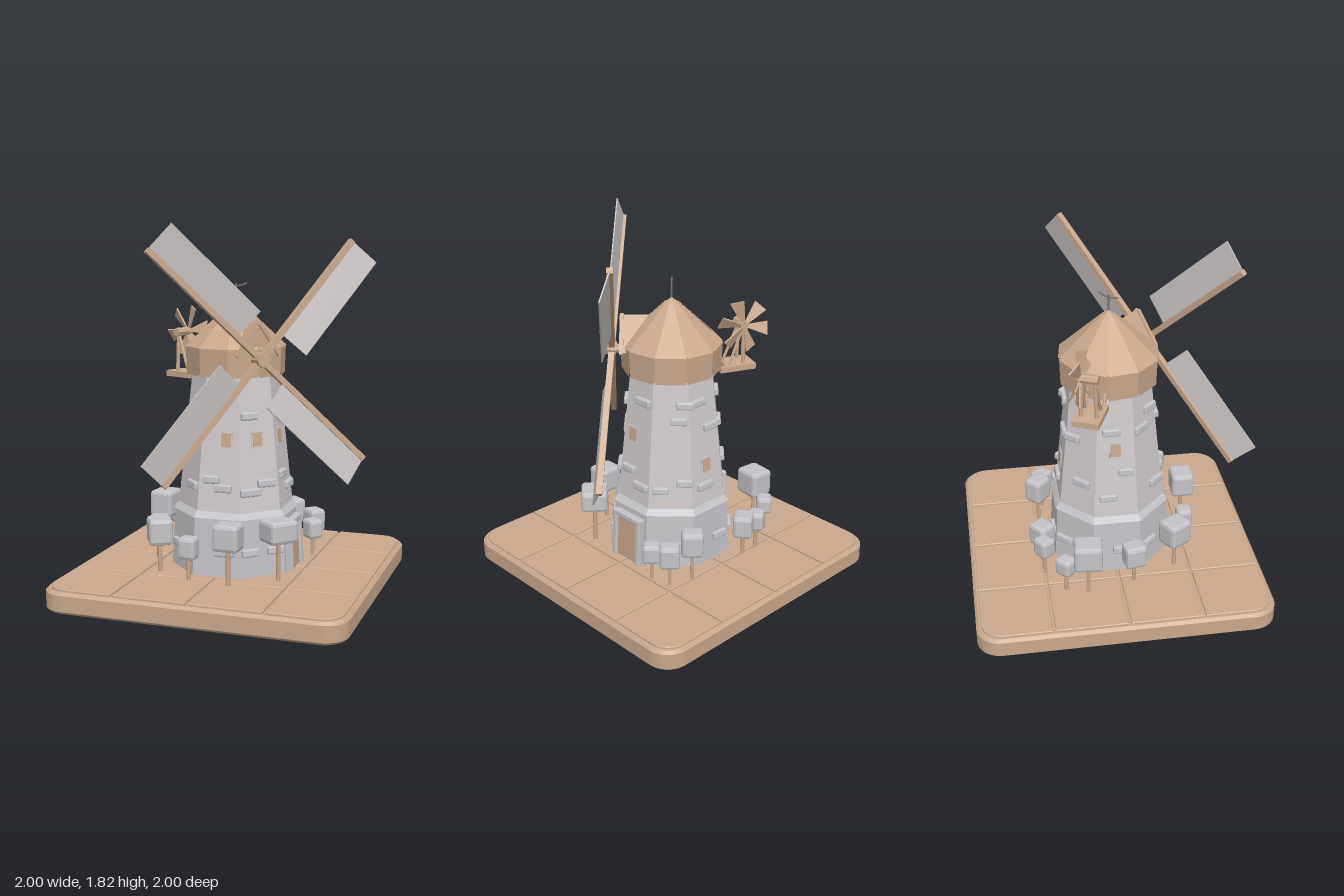
import * as THREE from 'three';
import { RoundedBoxGeometry } from 'three/addons/geometries/RoundedBoxGeometry.js';

const mat = (name, color, extra = {}) => new THREE.MeshStandardMaterial({ name, color, flatShading: true, ...extra });
const wood = mat('wood', 0xcaa88c);
const stone = mat('pale stone', 0xd0cacb);
const block = mat('cool grey', 0xc4c4c8);
const sailCloth = mat('sail cloth', 0xcbc5c5, { side: THREE.DoubleSide });
const iron = mat('iron', 0x77716e);

function add(parent, name, geo, material, x = 0, y = 0, z = 0, rx = 0, ry = 0, rz = 0) {
  const m = new THREE.Mesh(geo, material);
  m.name = name;
  m.position.set(x, y, z);
  m.rotation.set(rx, ry, rz);
  parent.add(m);
  return m;
}
function group(parent, name, x = 0, y = 0, z = 0) {
  const g = new THREE.Group();
  g.name = name;
  g.position.set(x, y, z);
  parent.add(g);
  return g;
}
const box = (w, h, d) => new THREE.BoxGeometry(w, h, d);
const soft = (w, h, d, r) => new RoundedBoxGeometry(w, h, d, 1, r);

// Straight bar between two points
function bar(parent, name, a, b, r, material) {
  const p = new THREE.Vector3(...a), q = new THREE.Vector3(...b);
  const m = add(parent, name, new THREE.CylinderGeometry(r, r, p.distanceTo(q), 6), material);
  m.position.copy(p).add(q).multiplyScalar(0.5);
  m.quaternion.setFromUnitVectors(new THREE.Vector3(0, 1, 0), q.sub(p).normalize());
}

// Rectangle with its own radius at each corner
function roundRect(x0, y0, x1, y1, [a, b, c, d]) {
  const s = new THREE.Shape();
  const arc = (x, y, r, t) => (r > 0 ? s.absarc(x, y, r, t, t + Math.PI / 2) : s.lineTo(x, y));
  s.moveTo(x0 + a, y0);
  arc(x1 - b, y0 + b, b, -Math.PI / 2);
  arc(x1 - c, y1 - c, c, 0);
  arc(x0 + d, y1 - d, d, Math.PI / 2);
  arc(x0 + a, y0 + a, a, Math.PI);
  return s;
}
function slab(shape, depth, bevel) {
  const g = new THREE.ExtrudeGeometry(shape, { depth: depth - 2 * bevel, bevelEnabled: true, bevelSize: bevel,
    bevelThickness: bevel, bevelOffset: -bevel, bevelSegments: 1, curveSegments: 8 });
  return g.translate(0, 0, bevel).rotateX(-Math.PI / 2);
}

function buildBase(root) {
  const base = group(root, 'base');
  base.rotation.y = Math.PI / 4;
  const s = 0.742;
  add(base, 'baseSlab', slab(roundRect(-s, -s, s, s, [0.12, 0.12, 0.12, 0.12]), 0.106, 0.014), wood);
  const lines = [-0.725, -0.37, 0, 0.37, 0.725], gap = 0.006, r = 0.105;
  for (let i = 0; i < 4; i++) for (let j = 0; j < 4; j++) {
    const L = i === 0, R = i === 3, B = j === 0, T = j === 3;
    const corners = [L && B, R && B, R && T, L && T].map(on => (on ? r : 0));
    const tile = roundRect(lines[i] + gap, lines[j] + gap, lines[i + 1] - gap, lines[j + 1] - gap, corners);
    add(base, 'pavingTile', slab(tile, 0.02, 0.004), wood, 0, 0.097, 0);
  }
}

// Eight-sided prism with flat sides towards the axes, sized by apothem
const octagon = (top, bottom, h) => {
  const k = Math.cos(Math.PI / 8);
  return new THREE.CylinderGeometry(top / k, bottom / k, h, 8).rotateY(Math.PI / 8);
};
const wallAt = y => (y > 0.43 ? 0.268 - (y - 0.42) * 0.1 : 0.3 - (y - 0.11) * 0.06);

function buildTower(root) {
  const tower = group(root, 'tower');
  add(tower, 'lowerWall', octagon(0.283, 0.3, 0.3), block, 0, 0.255, 0);
  add(tower, 'ledge', octagon(0.27, 0.292, 0.03), block, 0, 0.418, 0);
  add(tower, 'upperWall', octagon(0.2, 0.268, 0.68), stone, 0, 0.76, 0);

  const faces = [...Array(8)].map((_, k) => {
    const g = group(tower, 'wallSide');
    g.rotation.y = k * Math.PI / 4;
    return g;
  });
  // Raised stones: side, offset, height, width
  const bricks = [
    [0, -0.04, 0.9, 0.09], [0, 0.04, 0.57, 0.1], [0, -0.05, 0.53, 0.11], [0, -0.07, 0.24, 0.09], [0, 0.07, 0.24, 0.09],
    [1, -0.04, 0.6, 0.09], [1, 0.05, 0.53, 0.1], [1, 0.03, 0.97, 0.1],
    [2, 0.07, 0.97, 0.09], [2, 0.04, 0.89, 0.08], [2, 0.07, 0.57, 0.08], [2, -0.05, 0.53, 0.08], [2, 0.06, 0.24, 0.09],
    [3, -0.03, 0.97, 0.08], [3, 0.04, 0.83, 0.09], [3, -0.02, 0.53, 0.1], [3, 0.05, 0.24, 0.09],
    [4, 0.04, 0.95, 0.09], [4, -0.05, 0.83, 0.09], [4, 0.02, 0.6, 0.1], [4, -0.06, 0.24, 0.1],
    [5, -0.02, 0.9, 0.09], [5, 0.05, 0.68, 0.08], [5, -0.04, 0.54, 0.09], [5, 0.03, 0.24, 0.1],
    [6, 0.04, 0.97, 0.09], [6, -0.04, 0.89, 0.1], [6, 0.05, 0.55, 0.1], [6, -0.05, 0.24, 0.09],
    [7, -0.05, 0.9, 0.08], [7, 0.02, 0.55, 0.09], [7, -0.04, 0.59, 0.08], [7, 0.04, 0.24, 0.1],
  ];
  for (const [k, off, y, w] of bricks)
    add(faces[k], 'raisedStone', soft(w, 0.04, 0.04, 0.008), block, off, y, wallAt(y), -0.09);
  // Windows: side, offset, height
  for (const [k, off, y] of [[0, 0, 0.785], [1, -0.03, 0.785], [7, 0.03, 0.785], [3, 0, 0.635], [5, 0, 0.8]]) {
    add(faces[k], 'windowFrame', box(0.064, 0.084, 0.009), stone, off, y, wallAt(y), -0.1);
    add(faces[k], 'windowPane', box(0.05, 0.068, 0.009), wood, off, y, wallAt(y) + 0.003, -0.1);
  }
  // Door on the front left side
  const door = group(faces[1], 'door', 0, 0.11, 0.298);
  door.rotation.x = -0.05;
  add(door, 'doorPanel', box(0.14, 0.225, 0.03), wood, 0, 0.113, 0.005);
  for (const s of [-1, 1]) add(door, 'doorJamb', soft(0.03, 0.25, 0.07, 0.006), block, s * 0.085, 0.125, 0);
  add(door, 'doorLintel', soft(0.2, 0.03, 0.07, 0.006), block, 0, 0.245, 0);
}

function buildRoof(root) {
  const roof = group(root, 'roof');
  const step = Math.PI / 5, gap = 0.02;
  add(roof, 'capCore', new THREE.CylinderGeometry(0.244, 0.24, 0.13, 10), wood, 0, 1.16, 0);
  add(roof, 'roofCore', new THREE.CylinderGeometry(0.035, 0.245, 0.2, 10), wood, 0, 1.318, 0);
  const plank = { ...{} };
  for (let i = 0; i < 10; i++) {
    const t = i * step + gap;
    const panel = (rt, rb, h) => new THREE.CylinderGeometry(rt, rb, h, 1, 1, false, t, step - 2 * gap);
    add(roof, 'capPanel', panel(0.252, 0.247, 0.14), wood, 0, 1.157, 0);
    add(roof, 'roofPanel', panel(0.04, 0.255, 0.2), wood, 0, 1.324, 0);
  }
  add(roof, 'roofTip', new THREE.ConeGeometry(0.045, 0.035, 10), wood, 0, 1.433, 0);

  // Gable over the sail shaft
  const gable = new THREE.Shape([[-0.11, 1.2], [0.11, 1.2], [0, 1.36]].map(p => new THREE.Vector2(...p)));
  add(roof, 'shaftGable', new THREE.ExtrudeGeometry(gable, { depth: 0.24, bevelEnabled: false }), wood);
  for (const s of [-1, 1])
    add(roof, 'gableBoard', box(0.018, 0.2, 0.02), wood, s * 0.058, 1.275, 0.242, 0, 0, s * 0.602);

  // Finial with curved cross arm
  bar(roof, 'finialPole', [0, 1.43, 0], [0, 1.53, 0], 0.004, iron);
  const arm = new THREE.QuadraticBezierCurve3(new THREE.Vector3(-0.06, 1.53, 0), new THREE.Vector3(0, 1.505, 0),
    new THREE.Vector3(0.06, 1.53, 0));
  add(roof, 'finialArm', new THREE.TubeGeometry(arm, 8, 0.004, 5), iron);
}

function buildSails(root) {
  const rotor = group(root, 'sails', -0.015, 1.18, 0.295);
  rotor.rotation.x = -0.066;
  add(rotor, 'shaft', new THREE.CylinderGeometry(0.025, 0.025, 0.2, 8), wood, 0, 0, -0.09, Math.PI / 2);
  add(rotor, 'hub', new THREE.CylinderGeometry(0.036, 0.036, 0.06, 8), wood, 0, 0, 0.008, Math.PI / 2);
  for (let i = 0; i < 4; i++) {
    const arm = group(rotor, 'sailArm');
    arm.rotation.z = THREE.MathUtils.degToRad(47 + 90 * i);
    add(arm, 'spar', box(0.765, 0.028, 0.03), wood, 0.383, 0, 0);
    const blade = group(arm, 'blade');
    blade.rotation.x = -0.2;
    add(blade, 'sail', box(0.6, 0.155, 0.006), sailCloth, 0.465, -0.087, 0);
  }
}

function buildFantail(root) {
  const tail = group(root, 'fantail');
  tail.rotation.y = 0.38;
  add(tail, 'platform', box(0.13, 0.03, 0.19), wood, 0, 1.055, -0.335);
  for (const s of [-1, 1]) {
    bar(tail, 'platformBrace', [s * 0.045, 1.06, -0.27], [s * 0.045, 1.14, -0.23], 0.009, wood);
    bar(tail, 'fanPost', [s * 0.04, 1.06, -0.37], [s * 0.03, 1.28, -0.37], 0.01, wood);
    bar(tail, 'fanStay', [s * 0.04, 1.06, -0.29], [s * 0.03, 1.25, -0.365], 0.008, wood);
  }
  const fan = group(tail, 'fan', 0, 1.27, -0.37);
  add(fan, 'fanAxle', new THREE.CylinderGeometry(0.022, 0.022, 0.1, 8), wood, 0, 0, 0, 0, 0, Math.PI / 2);
  const vane = new THREE.Shape([[-0.01, 0.02], [0.01, 0.02], [0.036, 0.13], [-0.036, 0.13]].map(p => new THREE.Vector2(...p)));
  const vaneGeo = new THREE.ExtrudeGeometry(vane, { depth: 0.008, bevelEnabled: false }).translate(0, 0, -0.004);
  for (let i = 0; i < 6; i++) {
    const g = group(fan, 'fanBlade', 0.04, 0, 0);
    g.rotation.x = 0.3 + i * Math.PI / 3;
    add(g, 'vane', vaneGeo, wood, 0, 0, 0, 0, Math.PI / 2 - 0.5);
  }
}

function buildTrees(root) {
  // x, z, crown width, crown bottom, crown top
  const trees = [
    [-0.22, 0.36, 0.13, 0.29, 0.42], [0.03, 0.4, 0.15, 0.31, 0.42], [-0.35, 0.19, 0.09, 0.22, 0.33],
    [-0.42, 0, 0.13, 0.26, 0.39], [-0.33, -0.23, 0.11, 0.22, 0.34], [-0.2, -0.44, 0.14, 0.28, 0.42],
    [-0.1, -0.49, 0.09, 0.22, 0.31], [0.08, -0.44, 0.09, 0.22, 0.32], [0.15, -0.37, 0.11, 0.22, 0.34],
    [0.395, -0.11, 0.11, 0.25, 0.38], [0.46, 0, 0.1, 0.22, 0.34], [0.4, 0.09, 0.09, 0.21, 0.31],
  ];
  trees.forEach(([x, z, w, y0, y1], i) => {
    const tree = group(root, 'tree', x, 0, z);
    tree.rotation.y = Math.atan2(x, z) + (i % 3 - 1) * 0.25;
    bar(tree, 'trunk', [0, 0.105, 0], [0, y0 + 0.02, 0], 0.011, wood);
    add(tree, 'crown', soft(w, y1 - y0, w * 0.9, 0.018), block, 0, (y0 + y1) / 2, 0);
  });
}

export function createModel() {
  const root = new THREE.Group();
  root.name = 'windmill';
  buildBase(root);
  buildTower(root);
  buildRoof(root);
  buildSails(root);
  buildFantail(root);
  buildTrees(root);
  return root;
}
